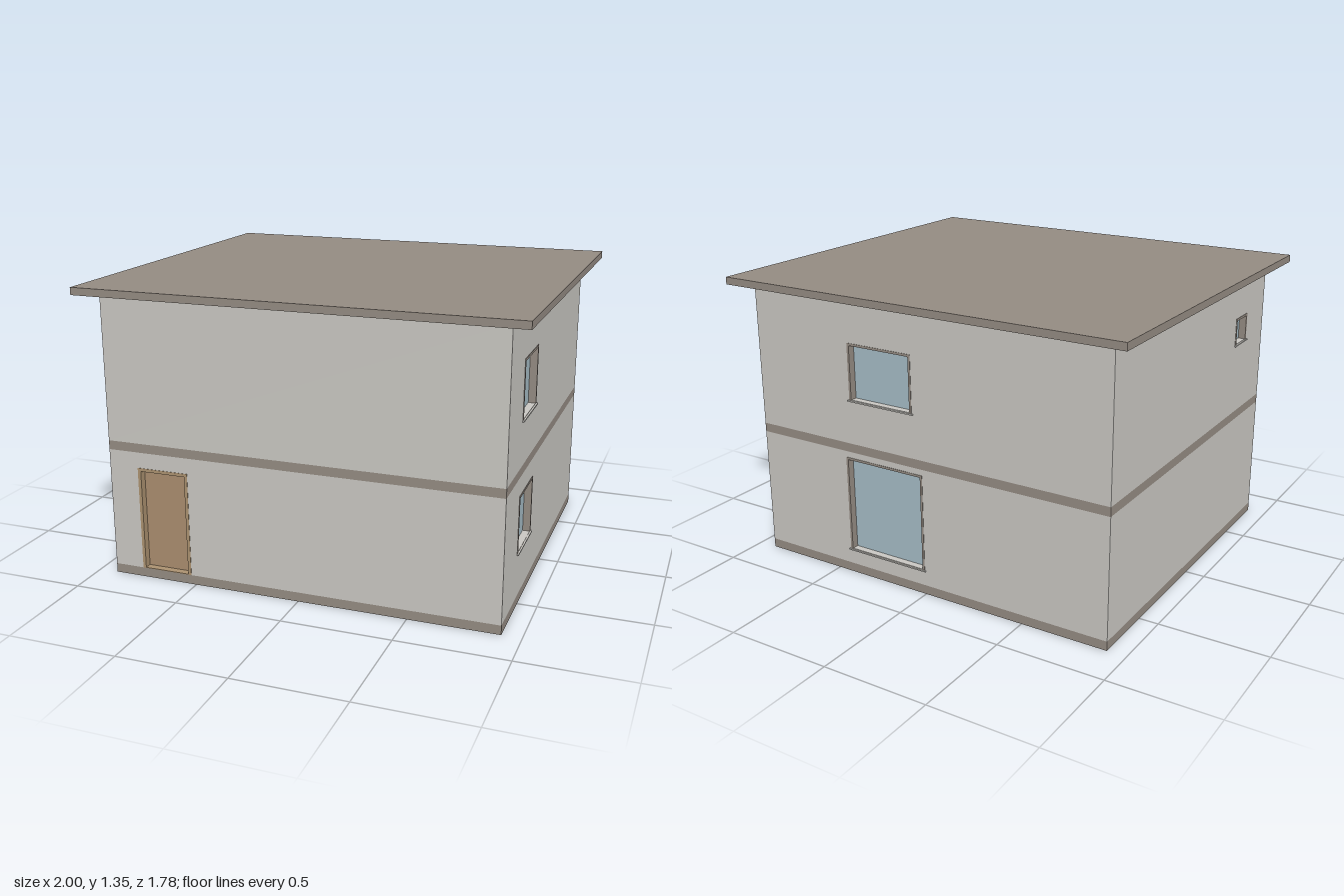
import * as THREE from 'three';

const HX = 0.911, HZ = 0.805; // half footprint of the walls
const T = 0.05;               // wall thickness
const RECESS = 0.032;         // how far panes and door sit back
const STOREYS = [[0.043, 0.603], [0.645, 1.317]];

export function createModel() {
  const mat = (name, color) => Object.assign(new THREE.MeshStandardMaterial({ color }), { name });
  const wallMat = mat('render wall', 0xc9c7c2);
  const trimMat = mat('taupe trim', 0x948b82);
  const glassMat = mat('window glass', 0xa5bbc5);
  const doorMat = mat('door wood', 0xa98d6e);
  const doorFrameMat = mat('door frame wood', 0xab9170);

  const house = new THREE.Group();
  house.name = 'house';

  const add = (parent, name, geometry, material, x = 0, y = 0, z = 0) => {
    const mesh = new THREE.Mesh(geometry, material);
    mesh.name = name;
    mesh.position.set(x, y, z);
    parent.add(mesh);
    return mesh;
  };

  // Horizontal slab between two heights
  const slab = (name, hx, hz, y0, y1) =>
    add(house, name, new THREE.BoxGeometry(hx * 2, y1 - y0, hz * 2), trimMat, 0, (y0 + y1) / 2, 0);

  slab('baseSlab', HX, HZ, 0, 0.043);
  slab('upperFloorSlab', HX, HZ, 0.603, 0.645);
  slab('roofSlab', 1, 0.89, 1.317, 1.351);

  const outline = (Kind, u0, u1, v0, v1) => {
    const p = new Kind();
    p.moveTo(u0, v0);
    p.lineTo(u1, v0);
    p.lineTo(u1, v1);
    p.lineTo(u0, v1);
    p.closePath();
    return p;
  };

  // Plate with rectangular holes, extruded along z
  const plate = (rect, holes, depth) => {
    const shape = outline(THREE.Shape, ...rect);
    for (const h of holes) shape.holes.push(outline(THREE.Path, ...h));
    return new THREE.ExtrudeGeometry(shape, { depth, bevelEnabled: false });
  };

  // Frame, pane and sill filling one opening
  const fillOpening = (side, [u0, u1, v0, v1], isDoor) => {
    const group = new THREE.Group();
    group.name = isDoor ? 'door' : 'window';
    side.add(group);
    const f = isDoor ? 0.015 : 0.011;
    const inner = [u0 + f, u1 - f, v0 + 0.003, v1 - f];
    add(group, isDoor ? 'doorFrame' : 'windowFrame',
      plate([u0, u1, v0, v1], [inner], T + 0.002), isDoor ? doorFrameMat : trimMat, 0, 0, -T);
    const w = inner[1] - inner[0], h = inner[3] - inner[2];
    add(group, isDoor ? 'doorLeaf' : 'windowPane', new THREE.BoxGeometry(w, h, 0.009),
      isDoor ? doorMat : glassMat, (u0 + u1) / 2, inner[2] + h / 2, -RECESS - 0.0045);
    if (!isDoor) {
      add(group, 'windowSill', new THREE.BoxGeometry(u1 - u0 + 0.014, 0.006, 0.008),
        wallMat, (u0 + u1) / 2, v0, 0.004);
      add(group, 'sillLedge', new THREE.BoxGeometry(w, 0.003, RECESS),
        wallMat, (u0 + u1) / 2, v0 + 0.0035, -RECESS / 2);
    }
  };

  // Each side in its own plane: u runs rightwards as seen from outside
  const sides = [
    { name: 'frontWall', turn: 0, half: HX, out: HZ, door: [-0.77, -0.523, 0.0435, 0.53], openings: [] },
    { name: 'leftWall', turn: 1, half: HZ - T, out: HX,
      openings: [[-0.54, -0.268, 0.25, 0.516], [-0.54, -0.268, 0.85, 1.116]] },
    { name: 'backWall', turn: 2, half: HX, out: HZ,
      openings: [[-0.425, -0.005, 0.115, 0.575], [-0.39, -0.05, 0.85, 1.116]] },
    { name: 'rightWall', turn: 3, half: HZ - T, out: HX, openings: [[0.45, 0.585, 0.985, 1.116]] },
  ];

  for (const { name, turn, half, out, door, openings } of sides) {
    const side = new THREE.Group();
    side.name = name;
    side.rotation.y = turn * Math.PI / 2;
    side.position.set(0, 0, out).applyEuler(side.rotation);
    house.add(side);
    const all = door ? [door, ...openings] : openings;
    for (const [y0, y1] of STOREYS) {
      const holes = all.filter((o) => o[2] > y0 && o[3] < y1);
      add(side, 'wallPanel', plate([-half, half, y0, y1], holes, T), wallMat, 0, 0, -T);
    }
    all.forEach((o) => fillOpening(side, o, o === door));
  }
  return house;
}
